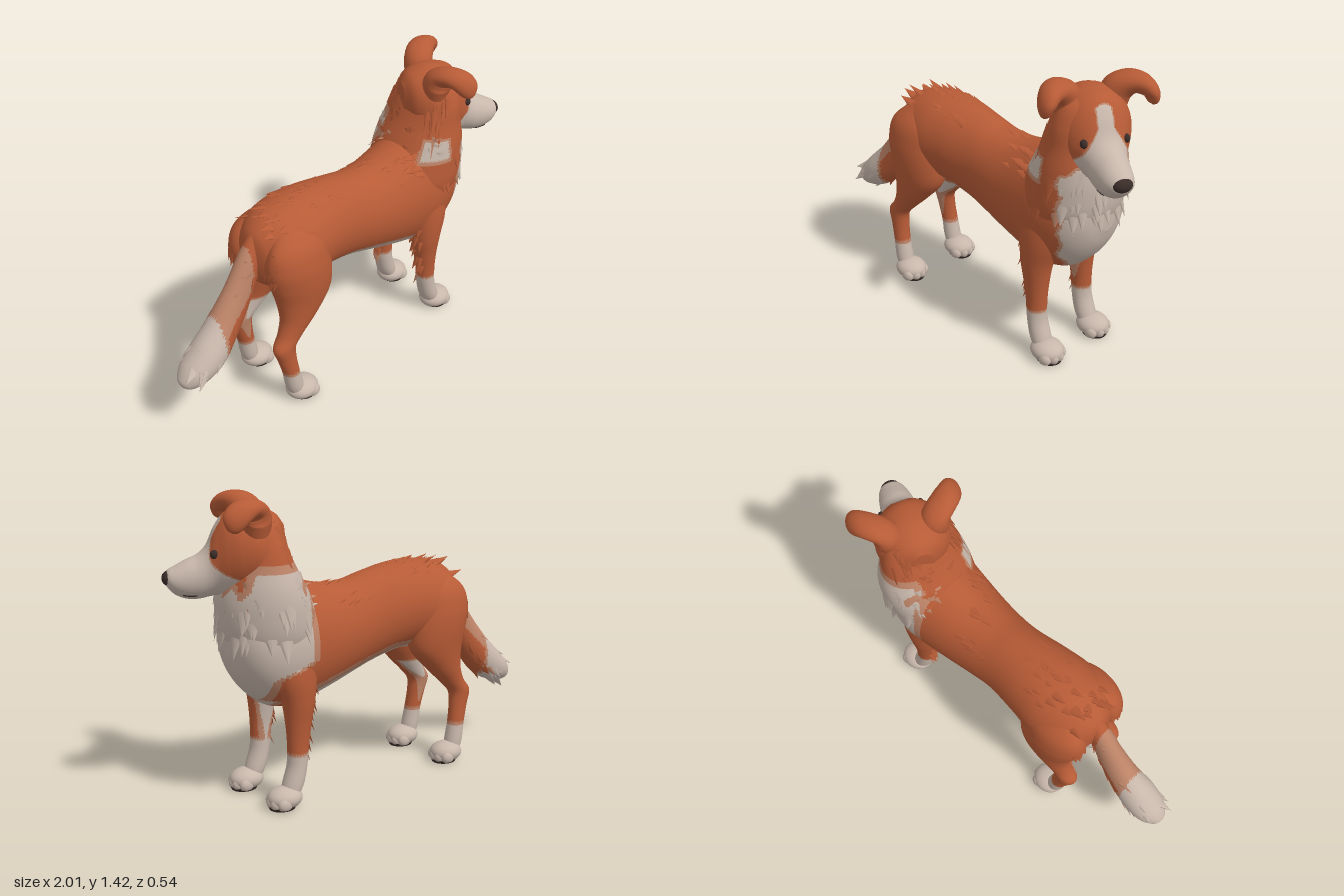
import * as THREE from 'three';
import { mergeGeometries } from 'three/addons/utils/BufferGeometryUtils.js';

const V = (x, y, z) => new THREE.Vector3(x, y, z);
const X = V(1, 0, 0), Y = V(0, 1, 0), Z = V(0, 0, 1), DOWN = V(0, -1, 0);
const RUST = 0, TAN = 1, CREAM = 2, DARK = 3;

let seed = 7;
const rnd = () => (seed = (seed * 16807) % 2147483647) / 2147483647;

function makeMaterials() {
  return [['rustFur', 0xb75b36], ['tanFur', 0xbd8468], ['creamFur', 0xc8b7ab], ['darkSkin', 0x3a2d29]]
    .map(([name, color]) => Object.assign(new THREE.MeshStandardMaterial({ color }), { name }));
}

// Smooth closed skin through elliptical sections [x, y, z, halfWidth along A, halfHeight].
// T is a fixed direction of travel; without it the path's own tangent is used.
function loft(name, rows, A, T, paint, mats, parent, radial = 56, per = 6) {
  const last = rows.length - 1;
  const spline = new THREE.CubicInterpolant(
    new Float32Array(rows.map((_, i) => i)), new Float32Array(rows.flat()), 5, new Float32Array(5));
  const row = t => [...spline.evaluate(THREE.MathUtils.clamp(t, 0, last))];
  const centre = t => V(...row(t).slice(0, 3));
  const at = (t, angle) => {
    const r = row(t);
    const dir = T || centre(t + 0.1).sub(centre(t - 0.1)).normalize();
    const B = dir.clone().cross(A).normalize();
    return V(r[0], r[1], r[2]).addScaledVector(A, r[3] * Math.cos(angle)).addScaledVector(B, r[4] * Math.sin(angle));
  };
  const pts = [], rings = last * per;
  for (let i = 0; i <= rings; i++)
    for (let j = 0; j < radial; j++) pts.push(at(i / per, (j / radial) * Math.PI * 2));
  const start = pts.push(centre(0)) - 1, end = pts.push(centre(last)) - 1;
  const buckets = mats.map(() => []);
  const face = (a, b, c) => {
    const mid = pts[a].clone().add(pts[b]).add(pts[c]).divideScalar(3);
    buckets[paint(mid)].push(a, b, c);
  };
  for (let j = 0; j < radial; j++) {
    const k = (j + 1) % radial, e = rings * radial;
    face(start, k, j);
    face(end, e + j, e + k);
    for (let i = 0; i < rings; i++) {
      const p = i * radial, q = p + radial;
      face(p + j, p + k, q + k);
      face(p + j, q + k, q + j);
    }
  }
  const geo = new THREE.BufferGeometry().setFromPoints(pts);
  geo.setIndex(buckets.flat());
  let from = 0;
  buckets.forEach((b, m) => { if (b.length) geo.addGroup(from, b.length, m); from += b.length; });
  geo.computeVertexNormals();
  const mesh = new THREE.Mesh(geo, mats);
  mesh.name = name;
  parent.add(mesh);
  return { at, centre, paint };
}

// Coat markings
const step = (d, border = 0.018) => (d > border ? CREAM : d > 0 ? TAN : RUST);
function coat({ x, y, z }) {
  const right = z > -0.02;
  const belly = x < 0.46 ? 0.645 - 0.22 * Math.max(x, -0.1) - y : -1;
  const edge = right
    ? 0.66 - 0.25 * Math.max(0, 0.7 - y) + 0.01 * Math.sin(y * 50)
    : 0.43 + 0.18 * (1 - THREE.MathUtils.smoothstep(y, 0.6, 0.7)) - (y < 0.5 ? 0.05 : 0);
  const bib = Math.min(x - edge, 1.04 + 0.02 * Math.sin(z * 60) - y);
  const collar = right
    ? Math.min(x - 0.42, 0.58 - x, y - 0.95, 1.07 - y, z - 0.11)
    : Math.min(x - 0.46 - 0.02 * Math.sin(y * 45), y - 0.9, 1.13 - y, -0.14 - z);
  return step(Math.max(belly, bib, collar), right ? 0.015 : 0.035);
}
// Socks run up the inner face of each leg; the shoulder follows the trunk
const legCoat = (s, zMid, top, inner) => p => (p.y > 0.6 && p.x > 0 ? coat(p)
  : step(Math.max(top - p.y, Math.min(s * (zMid - p.z) - inner, 0.49 - p.y)), 0.014));
const tailCoat = p => step(Math.max(-0.76 - p.x, Math.min(0.017, p.y - 1.25 - p.x * 0.96, -0.57 - p.x)));
function faceCoat({ x, y, z }) {
  const blaze = Math.min(0.04 + Math.max(0, 1.24 - y) * 0.6 - Math.abs(z), x - 0.04, 1.335 - y - z * z * 12);
  const jaw = Math.min(1.04 - y, x + 0.02);
  return step(Math.max(x - 0.168, blaze, jaw), 0.006);
}

export function createModel() {
  const model = new THREE.Group();
  model.name = 'dog';
  const mats = makeMaterials();
  const add = (parent, name, geo, m, x, y, z, sx = 1, sy = 1, sz = 1) => {
    const mesh = new THREE.Mesh(geo, mats[m]);
    mesh.name = name;
    mesh.position.set(x, y, z);
    mesh.scale.set(sx, sy, sz);
    parent.add(mesh);
  };
  const ball = new THREE.SphereGeometry(1, 28, 18);
  // Profile rows: x, top, bottom, half width
  const profile = (rows, z) => rows.map(([x, t, b, w]) => [x, (t + b) / 2, z, w, (t - b) / 2]);

  // Trunk
  const body = loft('body', profile([
    [-0.55, 0.9, 0.76, 0.04], [-0.52, 0.96, 0.68, 0.11], [-0.44, 1.015, 0.62, 0.18], [-0.3, 1.04, 0.6, 0.21],
    [-0.16, 1.035, 0.605, 0.195], [0, 1.01, 0.57, 0.175], [0.12, 0.985, 0.535, 0.18], [0.25, 0.985, 0.495, 0.195],
    [0.4, 1.02, 0.455, 0.215], [0.5, 1.05, 0.44, 0.225], [0.6, 1.04, 0.465, 0.215], [0.69, 1.0, 0.54, 0.185],
    [0.75, 0.95, 0.63, 0.13], [0.78, 0.9, 0.72, 0.05]], -0.02), Z, X, coat, mats, model, 96, 8);

  // Neck and ruff
  const neck = loft('neck', [
    [0.55, 0.68, -0.02, 0.17, 0.17], [0.56, 0.8, -0.02, 0.225, 0.225], [0.58, 0.92, -0.025, 0.235, 0.22],
    [0.6, 1.02, -0.025, 0.228, 0.19], [0.615, 1.12, -0.02, 0.205, 0.15], [0.63, 1.22, -0.012, 0.185, 0.12],
    [0.645, 1.31, -0.01, 0.14, 0.095], [0.655, 1.36, -0.01, 0.05, 0.05]], Z, Y, coat, mats, model, 96, 8);

  // Tail
  const tail = loft('tail', [
    [-0.48, 0.93, -0.02, 0.04, 0.05], [-0.55, 0.82, -0.02, 0.05, 0.062], [-0.63, 0.67, -0.02, 0.06, 0.078],
    [-0.73, 0.53, -0.02, 0.075, 0.088], [-0.83, 0.43, -0.015, 0.09, 0.09], [-0.92, 0.37, -0.015, 0.08, 0.07],
    [-0.975, 0.335, -0.015, 0.045, 0.04], [-0.99, 0.325, -0.015, 0.012, 0.012]], Z, null, tailCoat, mats, model, 48, 8);

  // Legs, paws and pads, on both sides
  const pawGeo = new THREE.SphereGeometry(1, 28, 18);
  for (let i = 0, a = pawGeo.attributes.position; i < a.count; i++) a.setY(i, Math.max(a.getY(i), -0.7));
  pawGeo.computeVertexNormals();
  const padGeo = new THREE.CylinderGeometry(1, 0.9, 0.014, 20);
  const forelegs = [], hindlegs = [];
  for (const s of [1, -1]) {
    const side = s > 0 ? 'right' : 'left';
    const leg = (name, rows, top, inner) => loft(side + name,
      rows.map(([y, x, rx, rz, z]) => [x, y, s * z - 0.015, rz, rx]),
      Z, DOWN, legCoat(s, s * 0.152 - 0.015, top, inner), mats, model, 44, 8);
    forelegs.push(leg('Foreleg', [
      [0.88, 0.5, 0.07, 0.03, 0.13], [0.74, 0.505, 0.12, 0.07, 0.138], [0.62, 0.51, 0.108, 0.085, 0.14],
      [0.5, 0.5, 0.08, 0.075, 0.147], [0.4, 0.502, 0.063, 0.06, 0.15], [0.3, 0.507, 0.052, 0.05, 0.152],
      [0.2, 0.515, 0.047, 0.05, 0.153], [0.11, 0.54, 0.05, 0.052, 0.154], [0.05, 0.565, 0.04, 0.045, 0.155]],
      0.255, s > 0 ? 0.034 : 0.05));
    hindlegs.push(leg('HindLeg', [
      [0.99, -0.37, 0.05, 0.02, 0.09], [0.9, -0.375, 0.145, 0.08, 0.125], [0.8, -0.375, 0.175, 0.112, 0.125],
      [0.7, -0.36, 0.172, 0.112, 0.13], [0.6, -0.355, 0.15, 0.098, 0.135], [0.5, -0.395, 0.1, 0.074, 0.145],
      [0.42, -0.45, 0.07, 0.055, 0.15], [0.36, -0.497, 0.062, 0.047, 0.156], [0.29, -0.49, 0.05, 0.042, 0.16],
      [0.2, -0.472, 0.043, 0.042, 0.165], [0.11, -0.455, 0.045, 0.045, 0.167], [0.05, -0.44, 0.04, 0.04, 0.167]],
      0.205, 0.03));
    for (const [kind, x, z] of [['Fore', 0.59, 0.158], ['Hind', -0.405, 0.167]]) {
      const paw = new THREE.Group();
      paw.name = side + kind + 'Paw';
      paw.position.set(x, 0, s * z - 0.015);
      add(paw, 'paw', pawGeo, CREAM, 0, 0.055, 0, 0.084, 0.052, 0.076);
      for (const k of [-1.5, -0.5, 0.5, 1.5])
        add(paw, 'toe', pawGeo, CREAM, 0.052 - 0.009 * k * k, 0.04, k * 0.033, 0.036, 0.034, 0.026);
      add(paw, 'pad', padGeo, DARK, 0.014, 0.014, 0, 0.068, 1, 0.062);
      model.add(paw);
    }
  }

  // Head, turned a little to its right
  const head = new THREE.Group();
  head.name = 'head';
  head.position.set(0.665, 0, -0.01);
  head.rotation.y = -THREE.MathUtils.degToRad(25);
  model.add(head);
  const skull = loft('skull', profile([
    [-0.17, 1.29, 1.12, 0.05], [-0.13, 1.34, 1.06, 0.125], [-0.05, 1.37, 1.01, 0.175], [0.03, 1.367, 0.99, 0.17],
    [0.09, 1.345, 0.985, 0.143], [0.135, 1.285, 0.985, 0.112], [0.17, 1.21, 0.98, 0.095], [0.21, 1.17, 0.973, 0.088],
    [0.26, 1.148, 0.975, 0.08], [0.31, 1.122, 0.995, 0.067], [0.34, 1.105, 1.025, 0.048], [0.352, 1.08, 1.045, 0.02]], 0),
    Z, X, faceCoat, mats, head, 96, 12);
  add(head, 'nose', ball, DARK, 0.334, 1.068, 0, 0.033, 0.034, 0.046);
  for (const s of [1, -1]) {
    const side = s > 0 ? 'right' : 'left';
    const angle = up => (s > 0 ? -up : Math.PI + up);
    const eye = skull.at(5.3, angle(0.42));
    add(head, side + 'Eye', ball, DARK, eye.x, eye.y, eye.z, 0.019, 0.02, 0.016);
    const lip = [7.2, 7.8, 8.4].map(t => skull.at(t, angle(-0.85)));
    add(head, side + 'Lip', new THREE.TubeGeometry(new THREE.CatmullRomCurve3(lip), 16, 0.004, 6), DARK, 0, 0, 0);
    // Folded ear with a full base and a blunt hanging flap
    loft(side + 'Ear', [
      [-0.035, 1.25, 0.1, 0.06, 0.065], [-0.03, 1.33, 0.12, 0.072, 0.07], [-0.005, 1.37, 0.16, 0.08, 0.052],
      [0.03, 1.372, 0.205, 0.08, 0.046], [0.058, 1.345, 0.234, 0.064, 0.036], [0.072, 1.305, 0.245, 0.036, 0.024],
      [0.075, 1.288, 0.247, 0.01, 0.008]]
      .map(([x, y, z, a, b]) => [x, y, s * z, a, b]), X, null, () => RUST, mats, head, 28, 6);
  }

  // Fur tufts: flattened spikes rooted under the skin and lying along the coat
  const fur = mats.map(() => []);
  function tufts(part, count, [t0, t1], [a0, a1], flow, length, width, lift = 0.25) {
    for (let i = 0; i < count; i++) {
      const t = t0 + (t1 - t0) * rnd(), a = a0 + (a1 - a0) * rnd();
      const p = part.at(t, a), out = p.clone().sub(part.centre(t)).normalize();
      const dir = flow.clone().normalize();
      dir.addScaledVector(out, -dir.dot(out)).normalize().addScaledVector(out, lift).normalize();
      const across = dir.clone().cross(out).normalize(), flat = across.clone().cross(dir);
      const len = length * (0.7 + 0.6 * rnd());
      const geo = new THREE.ConeGeometry(width * (0.8 + 0.4 * rnd()), len, 10, 1, true);
      geo.scale(1, 1, 0.35);
      geo.applyMatrix4(new THREE.Matrix4().makeBasis(across, dir, flat)
        .setPosition(p.clone().addScaledVector(dir, len * 0.4).addScaledVector(out, -0.36 * width)));
      fur[part.paint(p)].push(geo);
    }
  }
  const PI = Math.PI, back = V(-1, 0, 0);
  tufts(body, 50, [1.6, 5], [PI * 1.27, PI * 1.73], back, 0.08, 0.028, 0.32);
  tufts(body, 30, [5, 9], [PI * 1.2, PI * 1.8], back, 0.075, 0.026, 0.2);
  tufts(neck, 60, [2.6, 6], [PI * 1.05, PI * 1.95], V(-0.5, -1, 0), 0.095, 0.032, 0.34);
  tufts(neck, 60, [1, 3.6], [-0.5, PI + 0.5], DOWN, 0.1, 0.036, 0.24);
  tufts(tail, 45, [1, 5], [0, PI * 2], V(-1, -0.9, 0), 0.08, 0.03, 0.24);
  for (const leg of forelegs) tufts(leg, 22, [2, 5.6], [PI * 0.35, PI * 0.65], DOWN, 0.06, 0.018, 0.42);
  for (const leg of hindlegs) tufts(leg, 8, [1, 2.5], [PI * 0.4, PI * 0.6], DOWN, 0.06, 0.02, 0.25);
  ['rustTufts', 'tanTufts', 'creamTufts'].forEach((name, m) => {
    if (fur[m].length) add(model, name, mergeGeometries(fur[m]), m, 0, 0, 0);
  });
  return model;
}
